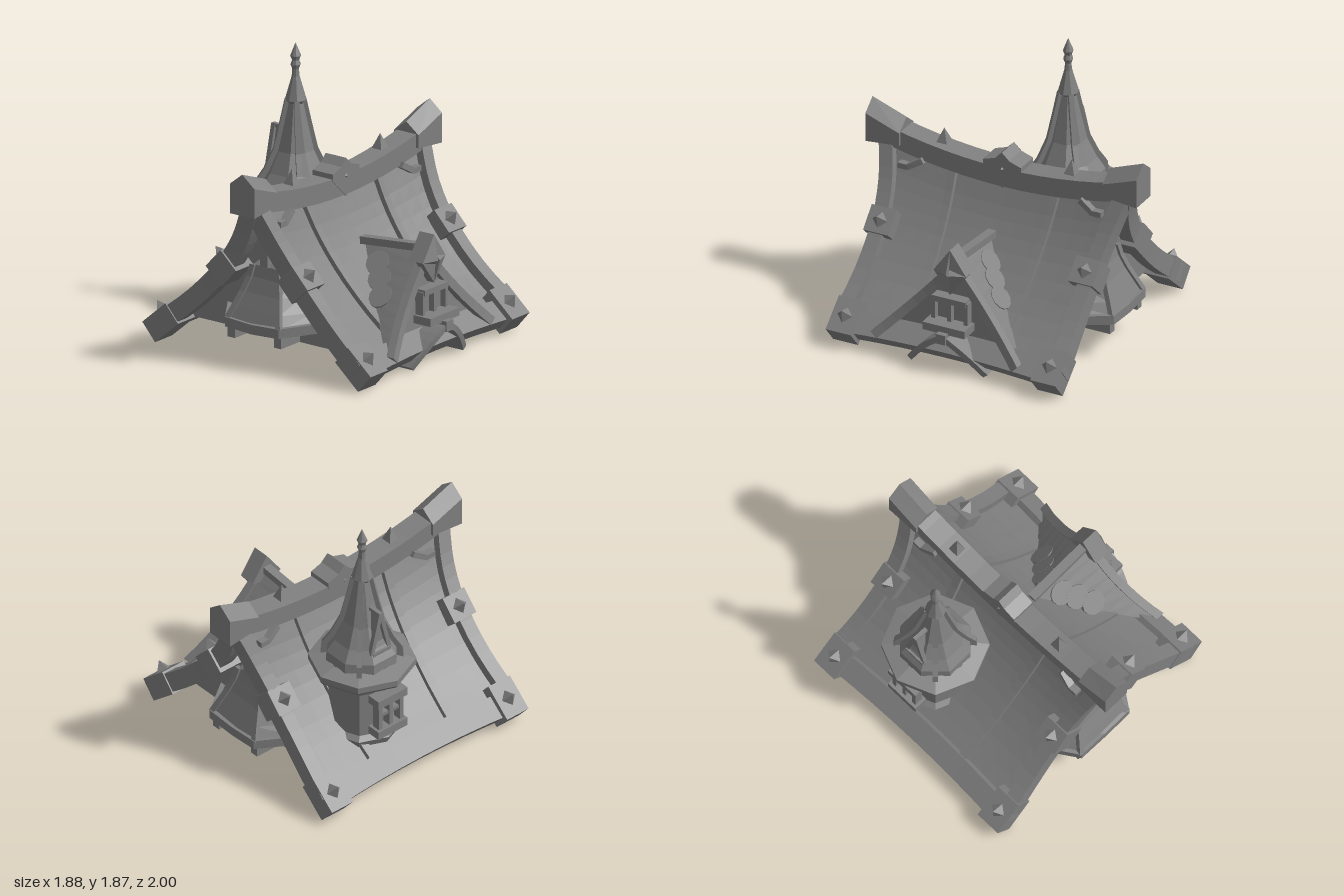
import * as THREE from 'three';

const V = (x, y, z) => new THREE.Vector3(x, y, z);
const slate = new THREE.MeshStandardMaterial({ color: 0x808080, side: THREE.DoubleSide });
slate.name = 'slate grey';

export function createModel() {
  const model = new THREE.Group();
  model.name = 'fantasyRoof';

  // flat-shaded mesh
  const add = (name, geo, parent = model, pos = [0, 0, 0]) => {
    const g = geo.index ? geo.toNonIndexed() : geo;
    g.computeVertexNormals();
    const m = new THREE.Mesh(g, slate);
    m.name = name;
    m.position.set(...pos);
    parent.add(m);
    return m;
  };
  const box = (name, w, h, d, x, y, z, parent) => add(name, new THREE.BoxGeometry(w, h, d), parent, [x, y, z]);

  // skin between cross-sections, optionally closed around and capped
  const loft = (sections, closed = true) => {
    const p = [];
    const tri = (...vs) => vs.forEach(v => p.push(v.x, v.y, v.z));
    const n = sections[0].length;
    for (let i = 0; i + 1 < sections.length; i++) {
      for (let j = 0; j < (closed ? n : n - 1); j++) {
        const k = (j + 1) % n, a = sections[i], b = sections[i + 1];
        tri(a[j], a[k], b[k]);
        tri(a[j], b[k], b[j]);
      }
    }
    if (closed) for (const s of [sections[0], sections[sections.length - 1]])
      for (let j = 1; j + 1 < n; j++) tri(s[0], s[j], s[j + 1]);
    const g = new THREE.BufferGeometry();
    g.setAttribute('position', new THREE.Float32BufferAttribute(p, 3));
    return g;
  };

  // rectangular beam along a path; width runs along "side"
  const beam = (pts, width, height, side) => loft(pts.map((p, i) => {
    const t = pts[Math.min(i + 1, pts.length - 1)].clone().sub(pts[Math.max(i - 1, 0)]).normalize();
    const n = t.cross(side).normalize();
    return [[1, 1], [-1, 1], [-1, -1], [1, -1]].map(([a, b]) =>
      p.clone().addScaledVector(side, a * width / 2).addScaledVector(n, b * height / 2));
  }));
  const steps = (n, f) => Array.from({ length: n + 1 }, (_, i) => f(i / n));

  // concave roof slope with sagging ridge and pinched eaves
  const profile = new THREE.CatmullRomCurve3([V(0.02, 1.09, 0), V(0.13, 0.87, 0), V(0.29, 0.64, 0), V(0.53, 0.385, 0), V(0.815, 0.15, 0)]);
  const slope = (s, t, z) => {
    const c = profile.getPoint(t), k = 1 - (z / 0.8) ** 2;
    return V(s * c.x * (1 - 0.035 * k * t), c.y - 0.09 * k * (1 - t) + 0.02 * k * t + 0.03 * (1 - t) - 0.01, z);
  };
  const Z = V(0, 0, 1), X = V(1, 0, 0);

  for (const s of [-1, 1]) {
    add('roofSlope', loft(steps(12, u => steps(10, t => slope(s, t * 0.96, -0.8 + 1.6 * u))), false));
    add('eaveBeam', beam(steps(8, u => slope(s, 1, -0.75 + 1.5 * u)), 0.16, 0.09, V(s * 0.766, -0.643, 0)));
    for (const f of [-1, 1]) {
      add('roofRib', beam(steps(10, t => slope(s, t * 0.97, f * (0.38 - 0.05 * t))), 0.055, 0.07, Z));
      add('ridgeBrace', beam([V(s * 0.1, 0.99, f * 0.75), V(s * 0.1, 0.99, f * 0.68), V(s * 0.08, 1.05, f * 0.58)], 0.05, 0.04, X));
      add('vergeBeam', beam(steps(12, t => {
        const c = profile.getPoint(t);
        return V(s * c.x, c.y, f * (0.77 + 0.27 * (c.y - 0.5) ** 2));
      }), 0.1, 0.13, Z));
      // studded blocks on the verge
      for (const [name, x, y, w, h, a] of [['cornerBlock', 0.795, 0.16, 0.25, 0.16, 41], ['middleBlock', 0.295, 0.635, 0.18, 0.175, 47]]) {
        const g = new THREE.Group();
        g.name = name;
        g.position.set(s * x, y, f * 0.755);
        g.rotation.z = -s * a * Math.PI / 180;
        model.add(g);
        box('block', w, h, 0.185, 0, 0, 0, g);
        add('stud', new THREE.ConeGeometry(0.055, 0.07, 4), g, [0, h / 2 + 0.035, 0]);
      }
    }
  }

  // ridge beam, raised end caps, studs and centre saddle
  const ridgeY = z => 1.065 + 0.14 * z * z;
  add('ridgeBeam', beam(steps(12, u => V(0, ridgeY(1.7 * u - 0.85), 1.7 * u - 0.85)), 0.16, 0.135, X));
  for (const f of [-1, 1]) {
    const cap = (z, low, shoulder, peak) => [V(-0.1, low, z), V(0.1, low, z), V(0.1, shoulder, z), V(0, peak, z), V(-0.1, shoulder, z)];
    add('ridgeCap', loft([cap(f * 0.75, 1.12, 1.21, 1.285), cap(f, 1.095, 1.3, 1.38)]));
    add('ridgeStud', new THREE.ConeGeometry(0.055, 0.1, 4), model, [0, 1.23, f * 0.47]).rotation.y = Math.PI / 4;
    add('saddleKnob', new THREE.OctahedronGeometry(0.05), model, [f * 0.05, 1.13, 0]);
  }
  const saddle = x => [[-0.14, 1.12], [-0.14, 1.17], [-0.05, 1.2], [0, 1.25], [0.05, 1.2], [0.14, 1.17], [0.14, 1.12], [0, 0.99]].map(([z, y]) => V(x, y, z));
  add('ridgeSaddle', loft([saddle(-0.085), saddle(0.085)]));

  // gable ends with bell-roofed bays
  for (const f of [-1, 1]) {
    add('gableWall', loft(steps(10, t => [slope(-1, t * 0.96, f * 0.66), slope(1, t * 0.96, f * 0.66)]), false));
    // bay outline, with an optional dip towards the centre
    const bay = (y, w, a, z, dip = 0) => [V(-w, y, f * 0.62), V(-a, y - dip / 2, f * z), V(0, y - dip, f * z), V(a, y - dip / 2, f * z), V(w, y, f * 0.62)];
    const bell = [[0.32, 0.39, 0.21, 0.88], [0.4, 0.32, 0.18, 0.845], [0.5, 0.23, 0.145, 0.8], [0.6, 0.165, 0.115, 0.765], [0.68, 0.14, 0.1, 0.75], [0.74, 0.06, 0.03, 0.69]];
    add('bayRoof', loft(bell.map(b => bay(...b))));
    add('baySill', loft([bay(0.275, 0.4, 0.21, 0.88, 0.025), bay(0.28, 0.41, 0.22, 0.9, 0.025), bay(0.345, 0.41, 0.22, 0.9, 0.025)]));
    for (const s of [-1, 1]) {
      add('bayRib', beam(bell.slice(0, 5).map(([y, , a, z]) => V(s * a, y, f * z)), 0.04, 0.035, X));
      box('bayBracket', 0.06, 0.08, 0.2, s * 0.19, 0.23, f * 0.77);
    }
    box('gablePost', 0.06, 0.24, 0.08, 0, 0.8, f * 0.73);
  }

  // octagonal turret
  const turret = new THREE.Group();
  turret.name = 'turret';
  turret.position.set(-0.48, 0, -0.19);
  model.add(turret);
  const lathe = (name, pts) => add(name, new THREE.LatheGeometry(pts.map(p => new THREE.Vector2(...p)), 8), turret);
  lathe('turretBody', [[0, 0.27], [0.25, 0.27], [0.27, 0.32], [0.235, 0.35], [0.235, 0.68], [0.27, 0.77]]);
  lathe('turretEave', [[0, 0.77], [0.34, 0.77], [0.355, 0.79], [0.355, 0.835], [0.24, 0.865]]);
  const spire = [[0.25, 0.85], [0.245, 0.93], [0.19, 1.01], [0.125, 1.15], [0.085, 1.32], [0.048, 1.49]];
  lathe('spire', spire).rotation.y = Math.PI / 8;
  lathe('finial', [[0.045, 1.46], [0.072, 1.49], [0.06, 1.53], [0.026, 1.65], [0.022, 1.7], [0.034, 1.73], [0.024, 1.76], [0.036, 1.79], [0.03, 1.805], [0, 1.88]]);
  for (let i = 0; i < 4; i++) {
    const a = Math.PI * (0.25 + i / 2), out = V(Math.cos(a), 0, Math.sin(a));
    add('spireRib', beam(spire.map(([r, y]) => out.clone().multiplyScalar(r).setY(y)), 0.035, 0.045, V(-out.z, 0, out.x)), turret);
  }
  // spire lucarne
  const lucarne = x => [V(x, 0.97, -0.06), V(x, 0.97, 0.06), V(x, 1.27, 0)];
  add('lucarne', loft([lucarne(-0.16), lucarne(-0.06)]), turret);
  for (const s of [-1, 1]) add('lucarneVerge', beam([V(-0.175, 0.98, s * 0.075), V(-0.175, 1.29, 0)], 0.03, 0.03, X), turret);
  box('lucarneRidge', 0.12, 0.025, 0.03, -0.13, 1.28, 0, turret);
  box('lucarneSill', 0.05, 0.03, 0.15, -0.175, 0.98, 0, turret);
  // turret window
  box('turretLintel', 0.1, 0.06, 0.25, -0.26, 0.66, 0, turret);
  box('turretSill', 0.1, 0.06, 0.25, -0.26, 0.41, 0, turret);
  for (const z of [-0.09, 0, 0.09]) box('turretMullion', 0.06, 0.22, 0.03, -0.26, 0.535, z, turret);
  box('turretCrossbar', 0.05, 0.025, 0.2, -0.255, 0.54, 0, turret);

  // side dormer: steep flared roof on an A-frame
  const verge = (s, t) => V(0.73 + 0.13 * t * t, 0.75 - 0.58 * t + 0.05 * t * (t - 1), s * 0.53 * t);
  const valley = (s, t) => V(0.24 + 0.57 * t, 0.71 - 0.54 * t - 0.1 * t * (1 - t), s * 0.52 * t);
  for (const s of [-1, 1]) {
    add('dormerSlope', loft(steps(8, t => [valley(s, t), verge(s, t)]), false));
    add('dormerVerge', beam(steps(8, t => verge(s, t * 0.98).add(V(0.01, -0.025, 0))), 0.06, 0.06, X));
    // rounded shingles on the dormer slope
    for (const [x, z] of [[0.41, 0.08], [0.48, 0.15], [0.55, 0.23]]) {
      const m = add('roundShingle', new THREE.CylinderGeometry(0.085, 0.085, 0.03, 12), model, [x, 0.705 - 1.1 * z, s * z]);
      m.rotation.x = s * 0.84;
    }
    // curved bracket leg below the window
    add('archLeg', beam(steps(6, t => V(0.855 - 0.085 * t * t, 0.275 - 0.13 * t - 0.12 * t * t, s * 0.28 * t)), 0.15, 0.04, X));
  }
  add('dormerWall', loft([[V(0.76, 0.19, -0.46), V(0.76, 0.19, 0.46)], [V(0.73, 0.72, 0), V(0.73, 0.72, 0)]], false));
  add('dormerRidge', beam([V(0.22, 0.72, 0), V(0.75, 0.77, 0)], 0.06, 0.05, Z));
  const lozenge = x => [V(x, 0.87, 0), V(x, 0.7, 0.12), V(x, 0.54, 0), V(x, 0.7, -0.12)];
  const crown = x => [V(x, 0.87, 0), V(x, 0.7, 0.12), V(x, 0.66, 0), V(x, 0.7, -0.12)];
  add('dormerCap', loft([crown(0.69), crown(0.81)]));
  add('dormerLozenge', loft([lozenge(0.75), lozenge(0.81), [V(0.82, 0.73, 0), V(0.85, 0.7, 0.01), V(0.82, 0.67, 0), V(0.85, 0.7, -0.01)]]));
  // dormer window
  box('dormerSill', 0.14, 0.055, 0.31, 0.83, 0.32, 0);
  box('dormerSillPost', 0.12, 0.07, 0.07, 0.88, 0.27, 0);
  box('dormerLintel', 0.08, 0.04, 0.25, 0.79, 0.5, 0);
  for (const z of [-0.12, 0, 0.12]) box('dormerMullion', 0.06, 0.17, 0.03, 0.79, 0.42, z);
  box('dormerPane', 0.04, 0.16, 0.24, 0.76, 0.42, 0);

  return model;
}
